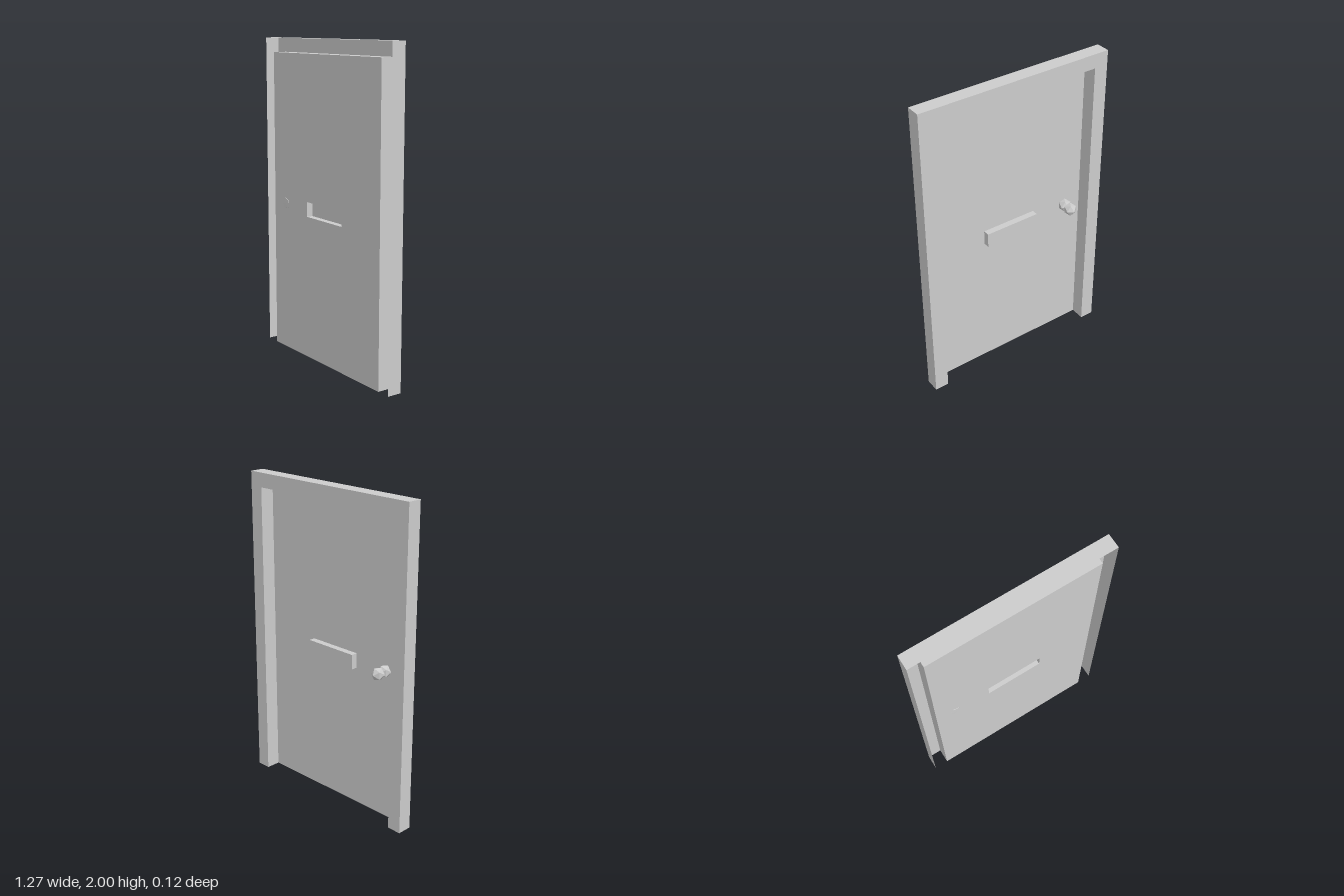
import * as THREE from 'three';

const BACK = -0.037, FRONT = 0.055, SLOT_BACK = 0.014;
const sheetMat = new THREE.MeshStandardMaterial({ color: 0xcccccc, flatShading: true, side: THREE.DoubleSide });

// Shape made from a list of [x, y] corners
const outline = (pts) => new THREE.Shape(pts.map(([x, y]) => new THREE.Vector2(x, y)));

// Arch of given half width and height, standing on the floor
const arch = (w, h) => [[-w, 0], [-w, h], [w, h], [w, 0]];

export function createModel() {
  const model = new THREE.Group();

  const add = (name, geometry, z = 0) => {
    const mesh = new THREE.Mesh(geometry, sheetMat);
    mesh.name = name;
    mesh.position.z = z;
    model.add(mesh);
    return mesh;
  };

  // Thin walls following a path of corners, spanning z0 to z1
  const addWalls = (name, pts, z0, z1) => {
    const group = new THREE.Group();
    group.name = name;
    for (let i = 0; i < pts.length - 1; i++) {
      const [ax, ay] = pts[i], [bx, by] = pts[i + 1];
      const length = Math.hypot(bx - ax, by - ay);
      const wall = new THREE.PlaneGeometry(length, z1 - z0).rotateX(Math.PI / 2);
      wall.rotateZ(Math.atan2(by - ay, bx - ax));
      wall.translate((ax + bx) / 2, (ay + by) / 2, (z0 + z1) / 2);
      const mesh = new THREE.Mesh(wall, sheetMat);
      mesh.name = name + 'Side';
      group.add(mesh);
    }
    model.add(group);
  };

  // Frame: hollow channel with outer walls, a back face and inner walls
  const outer = arch(0.635, 2), inner = arch(0.545, 1.91);
  add('frameBack', new THREE.ShapeGeometry(outline([...outer, ...inner.slice().reverse()])), BACK);
  addWalls('frameOuterWall', outer, BACK, FRONT);
  addWalls('frameInnerWall', inner, BACK, FRONT);

  // Door panel with the opening of the letter slot
  const slot = [[-0.182, 0.91], [0.182, 0.91], [0.182, 1.003], [-0.182, 1.003]];
  const panel = outline(inner);
  panel.holes.push(outline(slot));
  add('doorPanel', new THREE.ShapeGeometry(panel), FRONT);

  // Letter slot: pocket sunk into the panel
  add('slotBack', new THREE.ShapeGeometry(outline(slot)), SLOT_BACK);
  addWalls('slotWall', [...slot, slot[0]], SLOT_BACK, FRONT);

  // Knob: two faceted balls, the front one cut flat at the panel
  const ball = (z) => {
    const g = new THREE.IcosahedronGeometry(0.042, 0);
    g.rotateX(Math.atan(2 / (1 + Math.sqrt(5)))).rotateZ(-Math.PI / 2);
    g.translate(-0.42, 0.96, z);
    const p = g.attributes.position;
    for (let i = 0; i < p.count; i++) p.setZ(i, Math.min(p.getZ(i), 0.058));
    g.computeVertexNormals();
    return g;
  };
  add('knob', ball(-0.018));
  add('knobBase', ball(0.039));

  return model;
}
